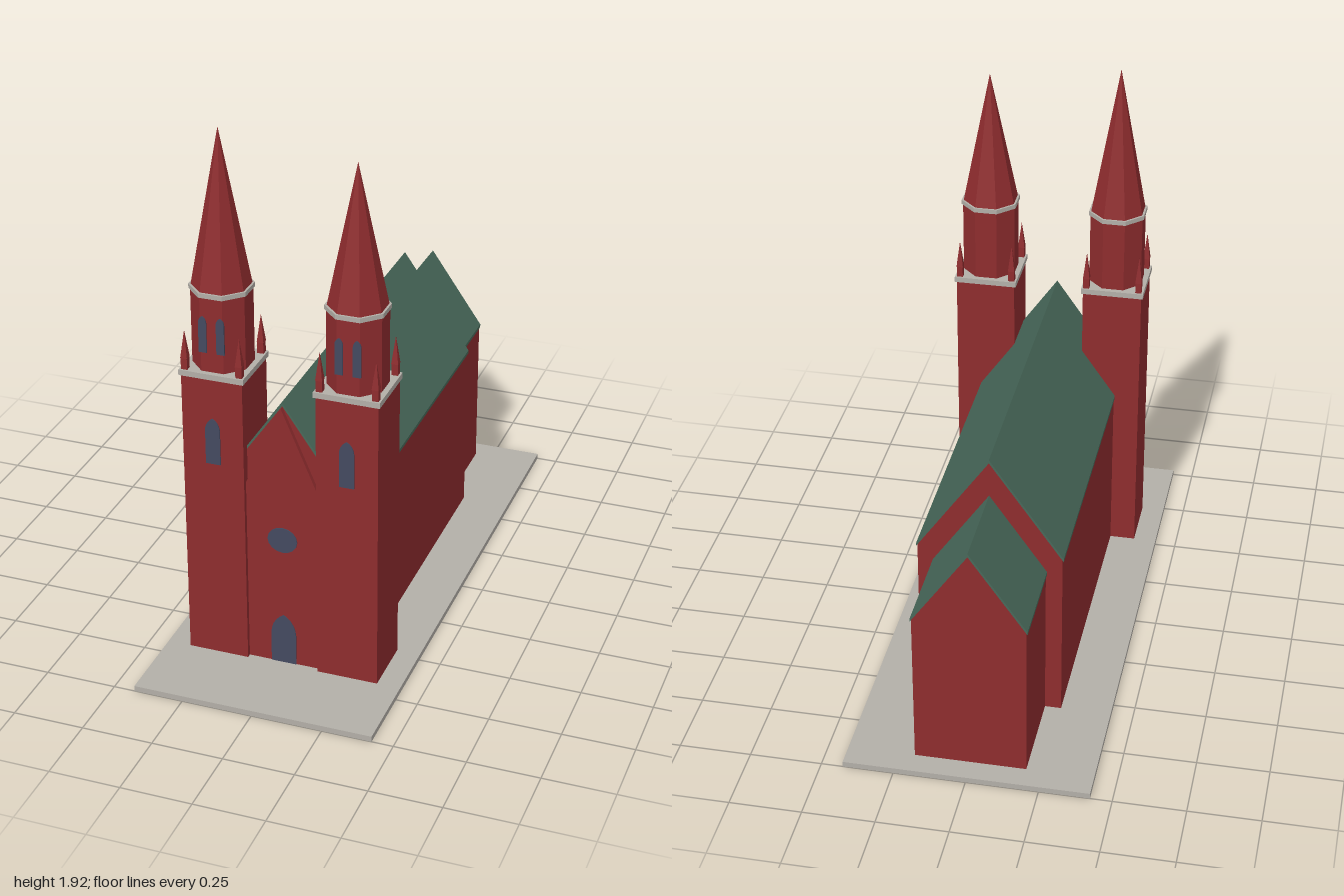
import * as THREE from 'three';

const mat = (name, color) => {
  const m = new THREE.MeshStandardMaterial({ color });
  m.name = name;
  return m;
};

export function createModel() {
  const brick = mat('red brick', 0x8e2c2e);
  const copper = mat('green roof', 0x48695a);
  const stone = mat('pale stone', 0xb3afa8);
  const glass = mat('dark glass', 0x444a60);

  const root = new THREE.Group();
  root.name = 'church';

  function add(parent, name, geometry, material, x = 0, y = 0, z = 0) {
    const mesh = new THREE.Mesh(geometry, material);
    mesh.name = name;
    mesh.position.set(x, y, z);
    parent.add(mesh);
    return mesh;
  }

  // Box given by its bottom height
  const box = (parent, name, material, w, h, d, x, y, z) =>
    add(parent, name, new THREE.BoxGeometry(w, h, d), material, x, y + h / 2, z);

  // Faceted prism or pyramid with flat sides facing the axes; radii are apothems
  function prism(parent, name, material, sides, top, bottom, h, x, y, z) {
    const k = 1 / Math.cos(Math.PI / sides);
    const g = new THREE.CylinderGeometry(top * k, bottom * k, h, sides)
      .rotateY(Math.PI / sides).toNonIndexed();
    g.computeVertexNormals();
    return add(parent, name, g, material, x, y + h / 2, z);
  }

  // Outline in x and y, pushed from z0 to z1
  function extrude(parent, name, material, points, z0, z1) {
    const shape = new THREE.Shape(points.map(([x, y]) => new THREE.Vector2(x, y)));
    const g = new THREE.ExtrudeGeometry(shape, { depth: z1 - z0, bevelEnabled: false });
    return add(parent, name, g, material, 0, 0, z0);
  }

  // Thin plate with a pointed arch
  function archPlate(parent, name, w, h, x, y, z) {
    const s = new THREE.Shape();
    const r = w / 2, spring = h - w * 0.85;
    s.moveTo(-r, 0);
    s.lineTo(r, 0);
    s.lineTo(r, spring);
    s.quadraticCurveTo(r * 0.95, h - r * 0.55, 0, h);
    s.quadraticCurveTo(-r * 0.95, h - r * 0.55, -r, spring);
    const g = new THREE.ExtrudeGeometry(s, { depth: 0.006, bevelEnabled: false, curveSegments: 5 });
    return add(parent, name, g, glass, x, y, z - 0.003);
  }

  // Gabled hall: brick walls with a thin pitched roof
  function hall(name, half, eave, ridge, z0, z1) {
    const g = new THREE.Group();
    g.name = name;
    root.add(g);
    const t = 0.012;
    extrude(g, name + 'Walls', brick,
      [[-half, 0.02], [half, 0.02], [half, eave], [0, ridge - t], [-half, eave]], z0, z1);
    const o = half + 0.004;
    extrude(g, name + 'Roof', copper,
      [[-o, eave - 0.006], [0, ridge - t], [o, eave - 0.006], [o, eave + 0.006], [0, ridge], [-o, eave + 0.006]],
      z0 - 0.001, z1 + 0.001);
  }

  // Ground slab
  box(root, 'base', stone, 0.85, 0.02, 2, 0, 0, 0);

  hall('nave', 0.25, 0.65, 1.02, -0.575, 0.677);
  hall('choir', 0.193, 0.59, 0.88, -0.917, -0.57);

  // Front wall between the towers
  const front = 0.693;
  extrude(root, 'frontGable', brick,
    [[-0.13, 0.02], [0.13, 0.02], [0.13, 0.7], [0, 1.005], [-0.13, 0.7]], 0.65, front);
  archPlate(root, 'door', 0.09, 0.19, 0, 0.02, front);
  const rose = new THREE.CylinderGeometry(0.05, 0.05, 0.006, 16).rotateX(Math.PI / 2);
  add(root, 'roundWindow', rose, glass, 0, 0.507, front).scale.set(1.06, 0.95, 1);

  // Twin towers; the right spire is taller
  for (const [name, x, tip] of [['rightTower', -0.235, 1.925], ['leftTower', 0.235, 1.87]]) {
    const t = new THREE.Group();
    t.name = name;
    t.position.set(x, 0, 0.602);
    root.add(t);
    box(t, 'shaft', brick, 0.215, 1.06, 0.215, 0, 0.02, 0);
    archPlate(t, 'shaftWindow', 0.052, 0.17, 0, 0.765, 0.1085);
    box(t, 'cornice', stone, 0.228, 0.02, 0.228, 0, 1.08, 0);
    prism(t, 'belfry', brick, 8, 0.095, 0.095, 0.27, 0, 1.1, 0);
    for (const s of [-1, 1]) archPlate(t, 'belfryWindow', 0.028, 0.13, s * 0.031, 1.17, 0.096);
    prism(t, 'belfryRing', stone, 8, 0.1, 0.1, 0.016, 0, 1.366, 0);
    prism(t, 'spire', brick, 8, 0, 0.093, tip - 1.38, 0, 1.38, 0);
    // Corner pinnacles
    for (const sx of [-1, 1]) for (const sz of [-1, 1]) {
      box(t, 'pinnacleBase', brick, 0.022, 0.04, 0.022, sx * 0.096, 1.1, sz * 0.096);
      prism(t, 'pinnacle', brick, 4, 0, 0.012, 0.1, sx * 0.096, 1.14, sz * 0.096);
    }
  }
  return root;
}
